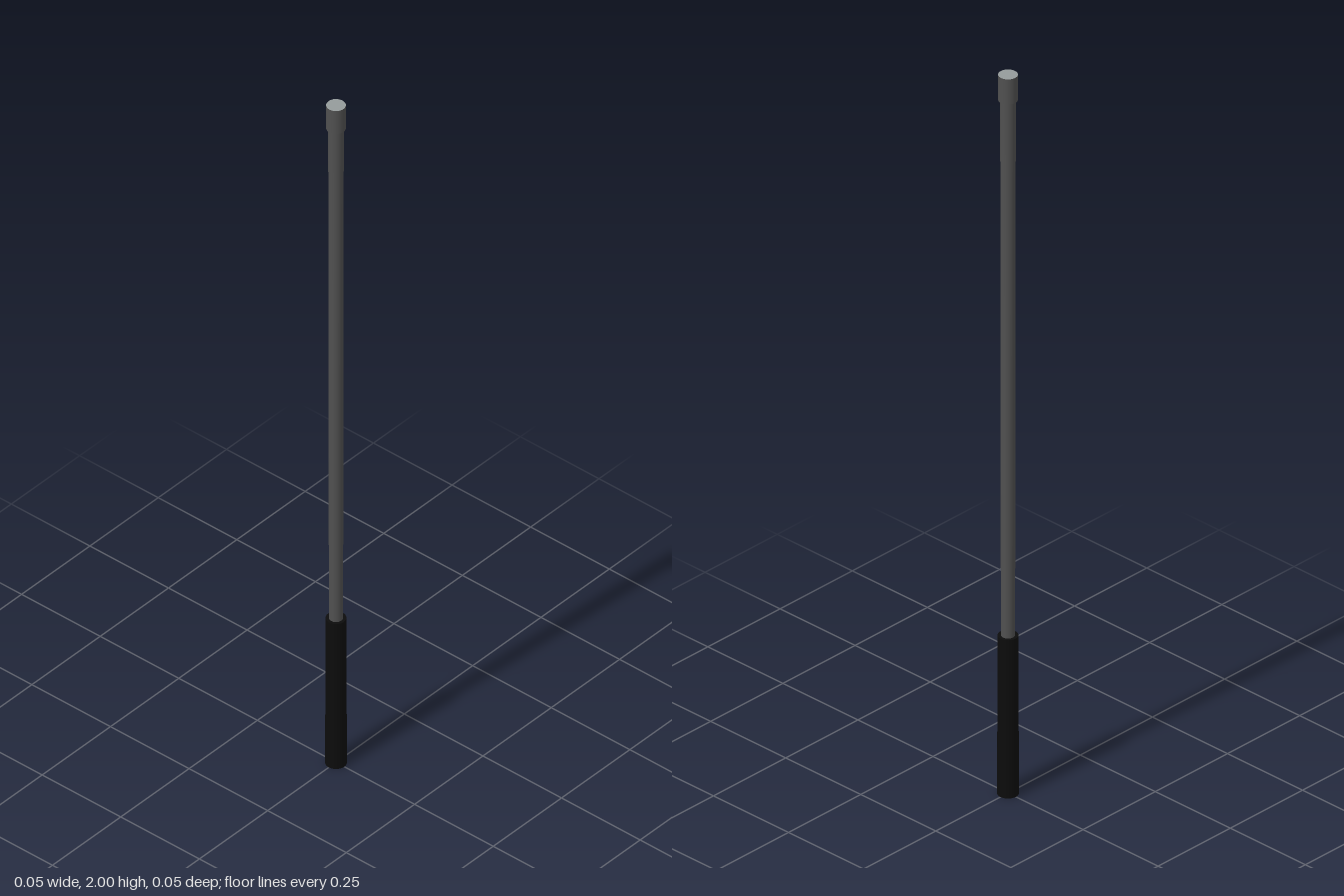
import * as THREE from 'three';

const material = (name, color) => {
  const m = new THREE.MeshStandardMaterial({ color });
  m.name = name;
  return m;
};

export function createModel() {
  const black = material('black grip', 0x0c0c0c);
  const steel = material('dark steel', 0x505050);
  const paleSteel = material('pale steel', 0x959b9b);
  const model = new THREE.Group();
  model.name = 'baton';

  // Round section from y0 to y1; materials are side, top, bottom
  const section = (name, rBottom, rTop, y0, y1, side, top = side) => {
    const geometry = new THREE.CylinderGeometry(rTop, rBottom, y1 - y0, 32);
    const mesh = new THREE.Mesh(geometry, [side, top, side]);
    mesh.position.y = (y0 + y1) / 2;
    mesh.name = name;
    model.add(mesh);
  };

  // Grip narrows slightly upward, shaft widens slightly toward the tip
  section('grip', 0.0262, 0.0252, 0, 0.44, black);
  section('shaft', 0.0172, 0.0188, 0.43, 1.94, steel);
  section('tipCap', 0.0238, 0.0238, 1.93, 2, steel, paleSteel);

  return model;
}
